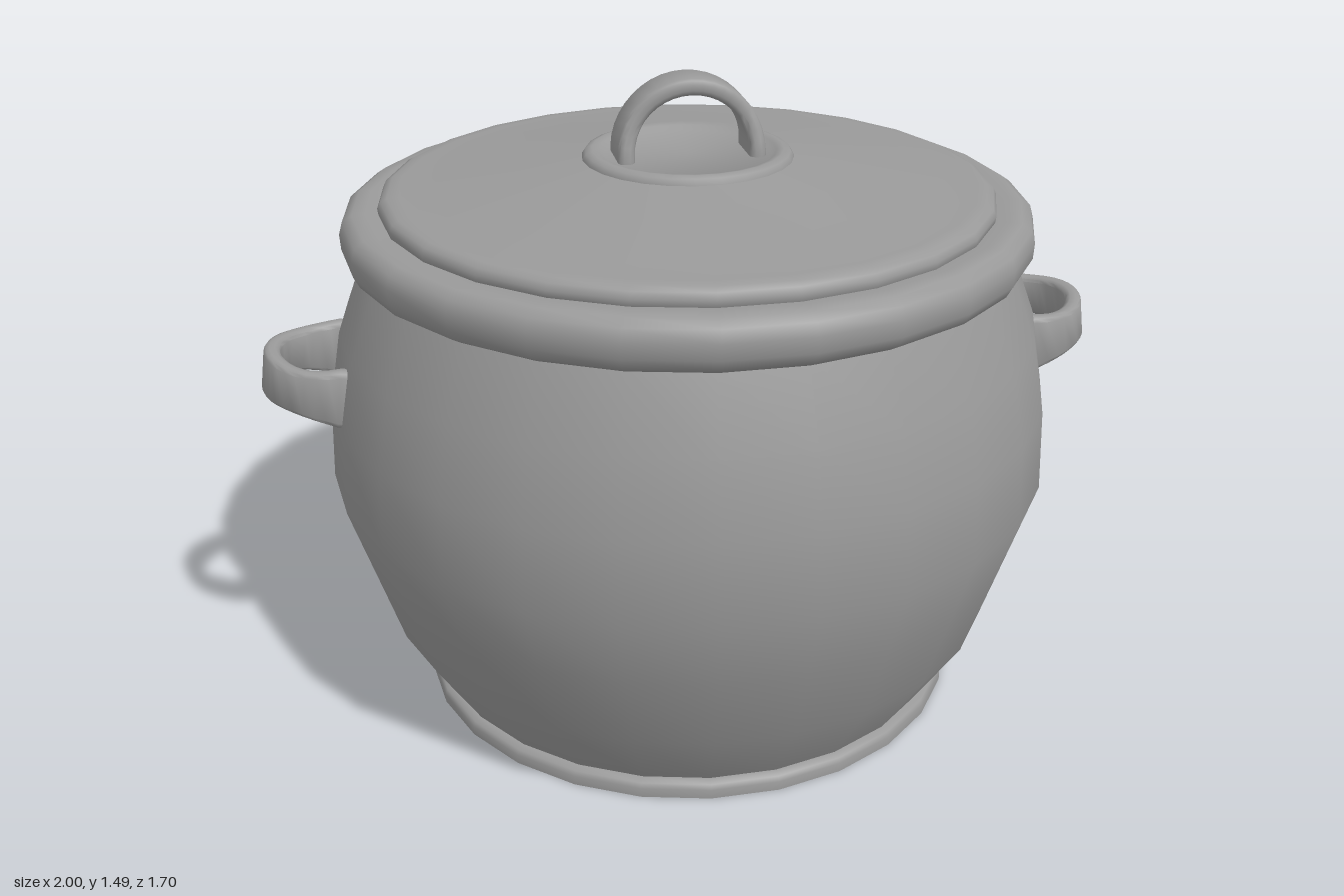
import * as THREE from 'three';
import { toCreasedNormals } from 'three/addons/utils/BufferGeometryUtils.js';

const SIDES = 26;

export function createModel() {
  const model = new THREE.Group();
  model.name = 'cookingPot';
  const material = new THREE.MeshStandardMaterial({ color: 0x9a9a9a });

  const addMesh = (name, geometry) => {
    const mesh = new THREE.Mesh(toCreasedNormals(geometry, 0.85), material);
    mesh.name = name;
    model.add(mesh);
    return mesh;
  };

  // Turned part from [radius, height] pairs, listed from bottom to top
  const turned = (name, profile) => addMesh(name, new THREE.LatheGeometry(
    profile.map(([r, y]) => new THREE.Vector2(r, y)), SIDES, Math.PI / 2));

  turned('foot', [[0, 0], [0.655, 0], [0.655, 0.022], [0.65, 0.034], [0.635, 0.04], [0, 0.04]]);
  turned('body', [[0.63, 0.035], [0.74, 0.21], [0.8, 0.4], [0.854, 0.57], [0.846, 0.76],
    [0.815, 0.93], [0.75, 1.1]]);
  turned('rim', [[0.70, 1.09], [0.755, 1.09], [0.78, 1.105], [0.793, 1.13], [0.795, 1.165],
    [0.787, 1.193], [0.765, 1.208], [0.735, 1.21], [0.68, 1.2]]);
  turned('lid', [[0.695, 1.19], [0.705, 1.205], [0.707, 1.22], [0.7, 1.234], [0.685, 1.242],
    [0.66, 1.244], [0.58, 1.245], [0.235, 1.305], [0, 1.305]]);
  turned('lidCollar', [[0.243, 1.29], [0.243, 1.305], [0.235, 1.317], [0.22, 1.322],
    [0.203, 1.318], [0.192, 1.308], [0, 1.308]]);

  // Arched strap handles
  addMesh('lidHandle', strapHandle(0.02)).position.y = 1.32;
  for (const side of [1, -1]) {
    const mount = new THREE.Group();
    mount.name = side > 0 ? 'leftHandle' : 'rightHandle';
    mount.rotation.y = side > 0 ? 0 : Math.PI;
    const strap = addMesh('strap', strapHandle(0.03));
    // Local up points outwards and the strap width stands upright
    strap.rotation.setFromRotationMatrix(new THREE.Matrix4().makeBasis(
      new THREE.Vector3(0, 0, 1), new THREE.Vector3(1, 0, 0), new THREE.Vector3(0, 1, 0)));
    const tilt = new THREE.Group();
    tilt.position.set(0.824, 0.834, 0);
    tilt.rotation.z = 0.14;
    tilt.add(strap);
    mount.add(tilt);
    model.add(mount);
  }
  return model;
}

// Half-round strap with straight feet of the given length, flaring towards its ends
function strapHandle(foot) {
  const half = 0.019, mid = 0.17 - half, steps = 20;
  const stations = [[0, -foot]];
  for (let i = 0; i <= steps; i++) stations.push([Math.PI * i / steps, 0]);
  stations.push([Math.PI, -foot]);

  // Rounded-rectangle section as fractions of half thickness and half width
  const section = [[1, -0.8], [1, 0.8], [0.8, 0.93], [0.35, 1], [-0.35, 1], [-0.8, 0.93],
    [-1, 0.8], [-1, -0.8], [-0.8, -0.93], [-0.35, -1], [0.35, -1], [0.8, -0.93]];
  const n = section.length, positions = [], index = [];
  for (const [a, drop] of stations) {
    const h = Math.sin(a);
    const width = 0.05 + 0.019 * (1 - Math.min(1, h * 1.4)) ** 1.5 + 0.004 * h ** 4;
    for (const [u, v] of section) {
      const r = mid + u * half;
      positions.push(r * Math.cos(a), r * h + drop, v * width);
    }
  }
  for (let i = 0; i < stations.length - 1; i++) {
    for (let j = 0; j < n; j++) {
      const a = i * n + j, b = i * n + (j + 1) % n;
      index.push(a, a + n, b, b, a + n, b + n);
    }
  }
  // End caps
  const last = (stations.length - 1) * n;
  for (let j = 1; j < n - 1; j++) {
    index.push(0, j, j + 1, last, last + j + 1, last + j);
  }
  const geometry = new THREE.BufferGeometry();
  geometry.setAttribute('position', new THREE.Float32BufferAttribute(positions, 3));
  geometry.setIndex(index);
  return geometry;
}
